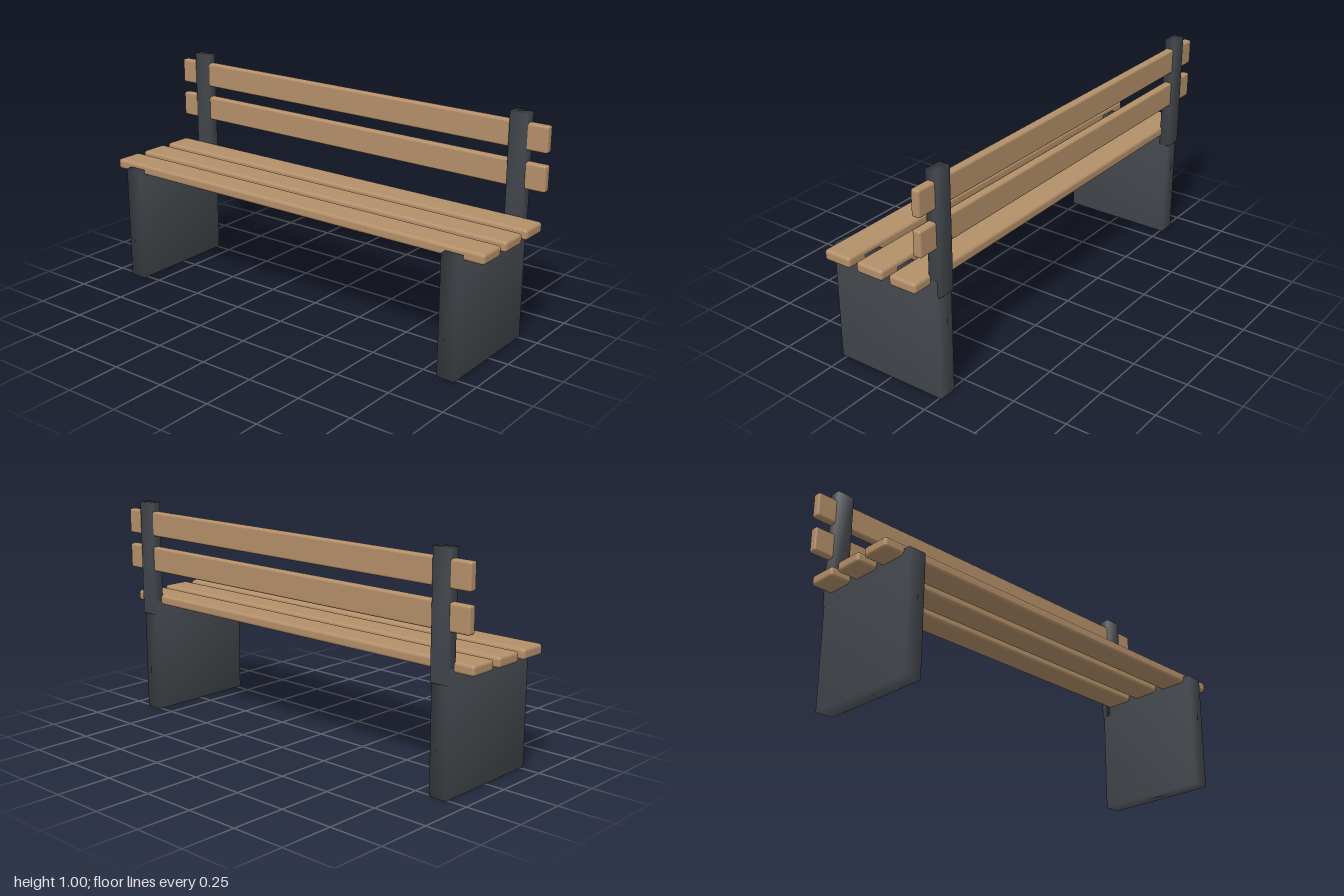
import * as THREE from 'three';
import { mergeVertices } from 'three/addons/utils/BufferGeometryUtils.js';
import { RoundedBoxGeometry } from 'three/addons/geometries/RoundedBoxGeometry.js';

export function createModel() {
  const bench = new THREE.Group();
  bench.name = 'bench';

  const wood = new THREE.MeshStandardMaterial({ color: 0xb38f69 });
  wood.name = 'wood';
  const metal = new THREE.MeshStandardMaterial({ color: 0x43474c });
  metal.name = 'dark metal';

  // Box with shared corners, so the shading runs softly over its edges
  function softBox(w, h, d) {
    const box = new THREE.BoxGeometry(w, h, d);
    box.deleteAttribute('normal');
    box.deleteAttribute('uv');
    const merged = mergeVertices(box);
    merged.computeVertexNormals();
    return merged;
  }

  function add(name, geometry, material, x, y, z) {
    const mesh = new THREE.Mesh(geometry, material);
    mesh.name = name;
    mesh.position.set(x, y, z);
    bench.add(mesh);
  }

  // Side panels and the posts behind them
  const panel = softBox(0.082, 0.535, 0.532);
  const post = softBox(0.082, 0.532, 0.05);
  for (const [side, s] of [['left', 1], ['right', -1]]) {
    add(`${side}LegPanel`, panel, metal, s * 0.867, 0.2675, 0.005);
    add(`${side}BackPost`, post, metal, s * 0.867, 0.734, -0.245);
  }

  // Three seat slats
  const seatSlat = new RoundedBoxGeometry(2, 0.047, 0.132, 3, 0.014);
  [0.172, 0.005, -0.162].forEach((z, i) =>
    add(`seatSlat${i + 1}`, seatSlat, wood, 0, 0.534, z));

  // Two backrest slats, set into the posts
  const backSlat = new RoundedBoxGeometry(2, 0.114, 0.039, 3, 0.01);
  [0.735, 0.901].forEach((y, i) =>
    add(`backSlat${i + 1}`, backSlat, wood, 0, y, -0.245));

  return bench;
}
